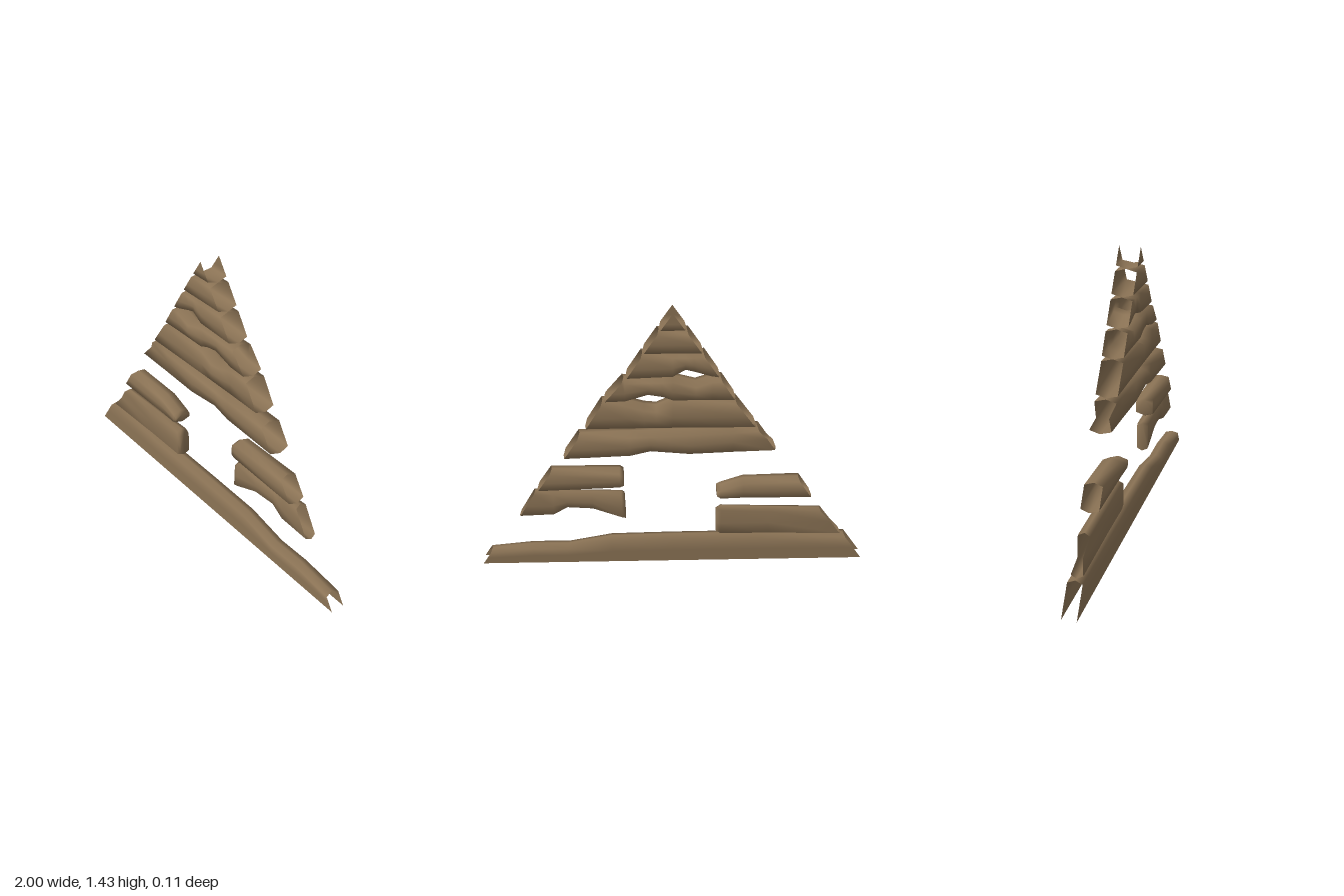
import * as THREE from 'three';

const BEVEL = 0.014;

// One hollow board. Stations run left to right: [topX, topY, bottomX, bottomY, groove depth].
// Each section has a centre ridge above and below, flat sides and an optional side groove.
function plank(name, material, stations, { front = 0.053, back = -0.053, cap = '', open = '' } = {}) {
  const pos = [], index = [], N = 8;
  for (const [tx, ty, bx, by, groove = 0] of stations) {
    const len = Math.hypot(tx - bx, ty - by);
    const t = open === 'top' ? 1 : 1 - BEVEL / len;
    const b = open === 'bottom' ? 0 : BEVEL / len;
    const mid = (front + back) / 2;
    const put = (f, z) => pos.push(bx + (tx - bx) * f, by + (ty - by) * f, z);
    put(1, mid);
    put(t, front);
    put(0.45, front - groove);
    put(b, front);
    put(0, mid);
    put(b, back);
    put(0.45, back + groove);
    put(t, back);
  }
  const skip = { top: [0, 7], bottom: [3, 4] }[open] || [];
  for (let i = 0; i < stations.length - 1; i++) {
    for (let j = 0; j < N; j++) {
      if (skip.includes(j)) continue;
      const k = (j + 1) % N;
      const a = i * N + j, b = i * N + k, c = b + N, d = a + N;
      index.push(a, b, c, a, c, d);
    }
  }
  // broken inner ends are closed, sloped outer ends stay open
  const last = (stations.length - 1) * N;
  for (let j = 1; j < N - 1; j++) {
    if (cap === 'left') index.push(0, j + 1, j);
    if (cap === 'right') index.push(last, last + j, last + j + 1);
  }
  const geo = new THREE.BufferGeometry();
  geo.setAttribute('position', new THREE.Float32BufferAttribute(pos, 3));
  geo.setIndex(index);
  geo.computeVertexNormals();
  const mesh = new THREE.Mesh(geo, material);
  mesh.name = name;
  return mesh;
}

export function createModel() {
  const group = new THREE.Group();
  group.name = 'plankGable';
  const wood = new THREE.MeshStandardMaterial({ color: 0x8b7355, side: THREE.DoubleSide });
  wood.name = 'weathered wood';
  const add = (name, stations, options) => group.add(plank(name, wood, stations, options));

  const thin = { front: 0.029, back: -0.029 };
  const offset = { front: 0.053, back: -0.035 };

  // long bottom board
  add('baseBoard', [
    [-0.90, 0.145, -1, 0], [-0.45, 0.152, -0.45, 0], [0, 0.15, 0, 0], [0.32, 0.145, 0.32, 0],
    [0.55, 0.10, 0.55, 0], [0.73, 0.103, 0.73, 0], [0.95, 0.077, 1, 0],
  ], { front: 0.036, back: -0.036, open: 'bottom' });

  // short boards left and right of the opening
  add('lowerRightSideBoard', [
    [-0.76, 0.306, -0.885, 0.145, 0.016], [-0.5, 0.316, -0.5, 0.153, 0.008],
    [-0.25, 0.326, -0.25, 0.154], [-0.226, 0.308, -0.226, 0.17],
  ], { ...thin, cap: 'right' });
  add('upperRightSideBoard', [
    [-0.64, 0.497, -0.715, 0.382], [-0.36, 0.492, -0.36, 0.382],
    [-0.245, 0.452, -0.245, 0.378], [-0.226, 0.44, -0.226, 0.392],
  ], { ...offset, cap: 'right' });
  add('lowerLeftSideBoard', [
    [0.247, 0.415, 0.242, 0.262], [0.262, 0.426, 0.262, 0.266], [0.41, 0.43, 0.41, 0.325],
    [0.54, 0.434, 0.54, 0.335], [0.61, 0.437, 0.61, 0.292], [0.70, 0.441, 0.79, 0.287],
  ], { ...thin, cap: 'left' });
  add('upperLeftSideBoard', [
    [0.25, 0.55, 0.247, 0.466], [0.268, 0.563, 0.268, 0.456], [0.61, 0.563, 0.69, 0.443],
  ], { ...offset, cap: 'left' });

  // full width boards, bottom to top
  add('gableBoard1', [
    [-0.415, 0.81, -0.515, 0.68, 0.022], [-0.3, 0.805, -0.3, 0.671, 0.014], [-0.08, 0.794, -0.08, 0.662],
    [0.11, 0.788, 0.11, 0.681], [0.21, 0.785, 0.21, 0.656], [0.46, 0.776, 0.545, 0.645],
  ]);
  add('gableBoard2', [
    [-0.30, 0.966, -0.41, 0.814], [0, 0.966, 0, 0.814], [0.08, 0.93, 0.08, 0.814],
    [0.14, 0.936, 0.14, 0.814], [0.23, 0.964, 0.23, 0.814], [0.34, 0.962, 0.43, 0.814],
  ]);
  add('gableBoard3', [
    [-0.228, 1.088, -0.305, 0.966], [-0.19, 1.088, -0.19, 0.966], [-0.11, 1.06, -0.11, 0.966],
    [0, 1.09, 0, 0.966], [0.05, 1.088, 0.05, 0.986], [0.12, 1.088, 0.12, 0.998],
    [0.23, 1.085, 0.23, 0.964], [0.235, 1.083, 0.335, 0.964],
  ]);
  add('gableBoard4', [
    [-0.143, 1.218, -0.226, 1.09], [-0.13, 1.218, -0.19, 1.095], [-0.1, 1.218, -0.1, 1.12],
    [-0.06, 1.218, -0.06, 1.13], [0, 1.218, 0, 1.094], [0.143, 1.217, 0.226, 1.088],
  ]);
  add('gableBoard5', [[-0.065, 1.335, -0.143, 1.218], [0.065, 1.335, 0.143, 1.218]]);

  // pointed top board
  add('peakBoard', [[0, 1.43, -0.065, 1.335], [0, 1.43, 0.065, 1.335]], { open: 'top' });

  return group;
}
